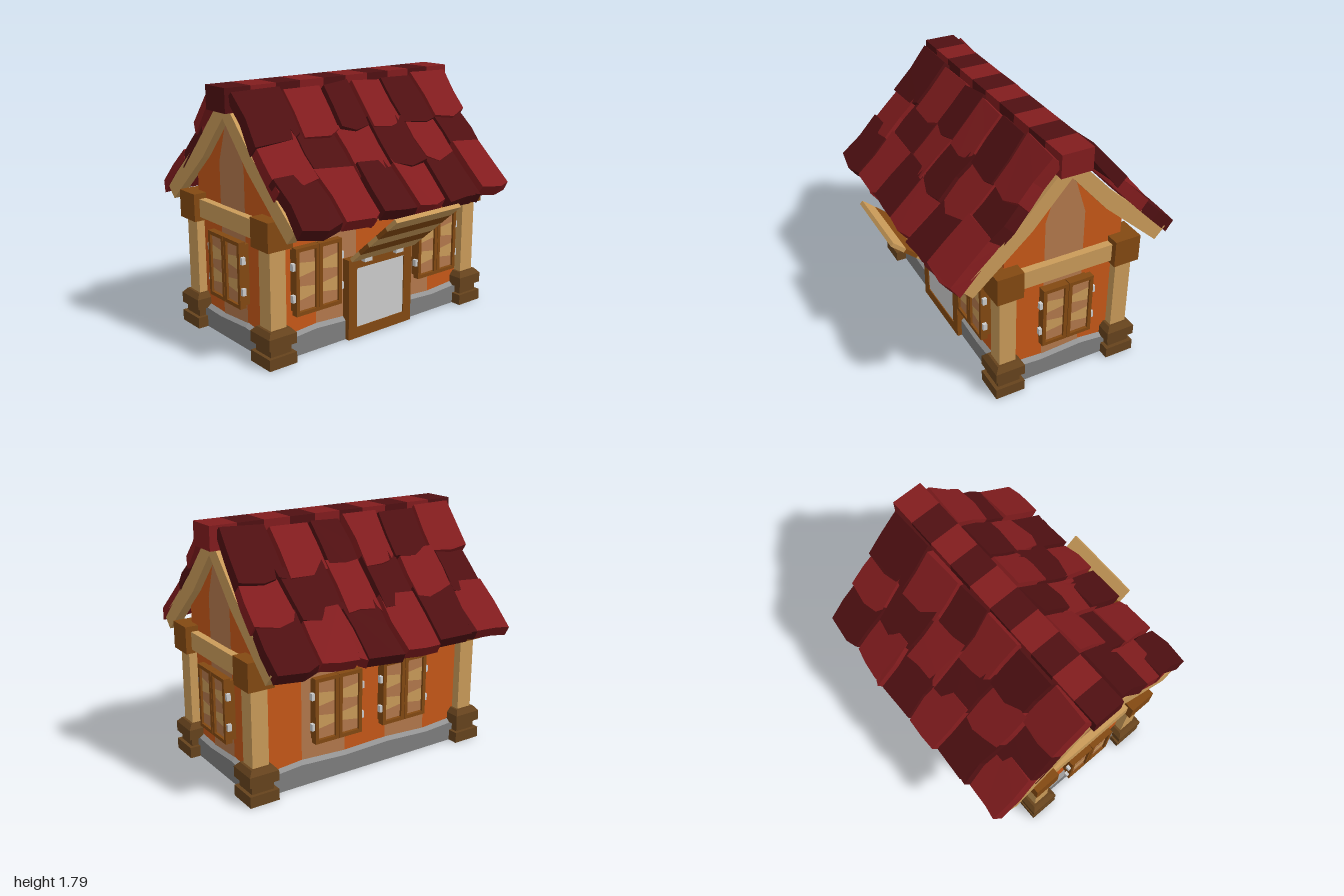
import * as THREE from 'three';

const mat = (color, extra = {}) => new THREE.MeshStandardMaterial({ color, flatShading: true, ...extra });
const M = {
  orange: mat(0xc65818), clay: mat(0xb3784c), tan: mat(0xca9b59), brown: mat(0x834912),
  dark: mat(0x66431d), stone: mat(0x7e7e7e), stoneLight: mat(0x929292),
  red: mat(0x821c1e), maroon: mat(0x501012), grey: mat(0xcccccc),
  clayThin: mat(0xb3784c, { side: THREE.DoubleSide }),
};
const WX = 0.89, WZ = 0.445; // half size of the walls

let seed = 7;
const jit = (a) => { seed = (seed * 16807) % 2147483647; return (seed / 2147483647 * 2 - 1) * a; };

function add(parent, name, geo, material, x = 0, y = 0, z = 0) {
  const m = new THREE.Mesh(geo, material);
  m.name = name;
  m.position.set(x, y, z);
  parent.add(m);
  return m;
}
const box = (p, name, w, h, d, material, x, y, z) =>
  add(p, name, new THREE.BoxGeometry(w, h, d), material, x, y, z);
const poly = (pts) => new THREE.Shape(pts.map(([x, y]) => new THREE.Vector2(x, y)));
function group(parent, name, x = 0, y = 0, z = 0, ry = 0) {
  const g = new THREE.Group();
  g.name = name;
  g.position.set(x, y, z);
  g.rotation.y = ry;
  parent.add(g);
  return g;
}

// Striped walls, gable stripes and chequered floor
function buildWalls(house) {
  const g = group(house, 'walls');
  const profile = poly([[-WZ, 0.01], [WZ, 0.01], [WZ, 1.15], [0.3, 1.3], [0, 1.63], [-0.3, 1.3], [-WZ, 1.15]]);
  const w = 2 * WX / 5;
  for (let i = 0; i < 5; i++) {
    const geo = new THREE.ExtrudeGeometry(profile, { depth: w, bevelEnabled: false });
    geo.rotateY(Math.PI / 2);
    add(g, 'wallBay', geo, i % 2 ? M.clay : M.orange, -WX + i * w);
  }
  const stripe = new THREE.ShapeGeometry(poly([[-0.148, 0.1], [0.148, 0.1], [0.148, 1.26], [0.07, 1.5], [0, 1.6], [-0.07, 1.5], [-0.148, 1.26]]));
  stripe.rotateY(Math.PI / 2);
  for (const s of [-1, 1]) add(g, 'gableStripe', stripe, M.clayThin, s * (WX + 0.003));
  const fw = 2 * (WX + 0.03) / 5, fd = 2 * (WZ + 0.03) / 3;
  for (let i = 0; i < 5; i++) for (let j = 0; j < 3; j++)
    box(g, 'floorTile', fw, 0.01, fd, (i + j) % 2 ? M.orange : M.clay, (i - 2) * fw, 0.006, (j - 1) * fd);
}

// Stone plinth: a wavy band with a paler sloped top
function buildPlinth(house) {
  const path = [];
  for (let i = 0; i < 5; i++) path.push([-1 + i * 0.4, 1]);
  for (let i = 0; i < 3; i++) path.push([1, 1 - i * 2 / 3]);
  const half = path.map(([x, z]) => [-x, -z]);
  const ring = [...path, ...half].map(([x, z], i) => ({ x, z, h: [0.15, 0.18, 0.16, 0.17, 0.15, 0.175, 0.16, 0.18][i % 8] }));
  const band = (name, material, lo, hi) => {
    const pos = [];
    ring.forEach((a, i) => {
      const b = ring[(i + 1) % ring.length];
      const [p, q, r, s] = [lo(a), lo(b), hi(b), hi(a)];
      pos.push(...p, ...q, ...r, ...p, ...r, ...s);
    });
    const geo = new THREE.BufferGeometry();
    geo.setAttribute('position', new THREE.Float32BufferAttribute(pos, 3));
    geo.computeVertexNormals();
    add(house, name, geo, material);
  };
  const at = (p, out, y) => [p.x * (WX + out), y, p.z * (WZ + out)];
  band('plinth', M.stone, (p) => at(p, 0.032, 0), (p) => at(p, 0.032, p.h - 0.025));
  band('plinthTop', M.stoneLight, (p) => at(p, 0.032, p.h - 0.025), (p) => at(p, -0.002, p.h));
}

// Corner post with stepped foot and cap block
function buildPost(house, x, z) {
  const g = group(house, 'cornerPost', x, 0, z);
  const chamfer = new THREE.CylinderGeometry(0.08 * Math.SQRT2, 0.11 * Math.SQRT2, 0.035, 4);
  chamfer.rotateY(Math.PI / 4);
  box(g, 'footBase', 0.22, 0.08, 0.22, M.dark, 0, 0.04, 0);
  box(g, 'footNeck', 0.168, 0.07, 0.168, M.dark, 0, 0.11, 0);
  box(g, 'footBlock', 0.22, 0.075, 0.22, M.dark, 0, 0.18, 0);
  add(g, 'footChamfer', chamfer, M.dark, 0, 0.235, 0);
  box(g, 'shaft', 0.124, 0.6, 0.124, M.tan, 0, 0.53, 0);
  box(g, 'cap', 0.195, 0.2, 0.195, M.brown, 0, 0.9, 0);
}

// Shuttered window facing +z, its back on the wall
function buildWindow(house, x, z, ry) {
  const g = group(house, 'window', x, 0.545, z, ry);
  box(g, 'windowBack', 0.35, 0.43, 0.05, M.brown, 0, -0.005, 0.025);
  for (const s of [-1, 1]) {
    const sh = group(g, 'shutter', s * 0.097);
    // wavy-edged bands of wood
    const tilt = (k) => (k % 5 ? s * (k % 2 ? 0.012 : -0.012) : 0);
    const edge = (k) => [-0.205 + k * 0.082 + tilt(k), -0.205 + k * 0.082 - tilt(k)];
    for (let k = 0; k < 5; k++) {
      const [a, b] = edge(k), [c, d] = edge(k + 1);
      add(sh, 'shutterPlank', new THREE.ExtrudeGeometry(poly([[-0.08, a], [0.08, b], [0.08, d], [-0.08, c]]),
        { depth: 0.025, bevelEnabled: false }), k % 2 ? M.tan : M.clay, 0, 0, 0.047);
    }
    for (const t of [-1, 1]) {
      box(sh, 'shutterStile', 0.026, 0.47, 0.05, M.brown, t * 0.082, 0, 0.064);
      box(sh, 'shutterRail', 0.15, 0.026, 0.05, M.brown, 0, t * 0.222, 0.064);
      box(g, 'hinge', 0.03, 0.05, 0.03, M.grey, s * 0.2, t * 0.11, 0.066);
    }
  }
}

// Doorway with a grey panel and a propped plank awning
function buildDoor(house) {
  const g = group(house, 'doorway', 0, 0, WZ);
  for (const s of [-1, 1]) box(g, 'doorJamb', 0.075, 0.59, 0.07, M.brown, s * 0.2595, 0.295, 0.03);
  box(g, 'doorSill', 0.444, 0.08, 0.07, M.brown, 0, 0.04, 0.03);
  box(g, 'doorLintel', 0.444, 0.07, 0.07, M.brown, 0, 0.555, 0.03);
  box(g, 'doorPanel', 0.45, 0.45, 0.05, M.grey, 0, 0.3, 0.033);
  for (const s of [-1, 1]) box(g, 'awningHinge', 0.07, 0.03, 0.04, M.grey, s * 0.147, 0.58, 0.08);
  const awning = group(g, 'awning', 0, 0.6, 0.085);
  awning.rotation.x = -Math.atan2(0.38, 0.435);
  for (let i = 0; i < 5; i++)
    box(awning, 'awningPlank', 0.59, 0.03, 0.116, i % 2 ? M.brown : M.tan, 0, 0, 0.057 + i * 0.116);
}

// One roof slope (facing +z): three overlapping rows of six crooked tiles
function buildSlope(house, ry) {
  const g = group(house, 'roofSlope', 0, 0, 0, ry);
  const rows = [
    { top: [0.14, 1.76], low: [0.395, 1.465], joints: [-0.96, -0.57, -0.24, 0.02, 0.31, 0.63, 0.96] },
    { top: [0.33, 1.515], low: [0.625, 1.225], joints: [-0.96, -0.63, -0.28, 0.01, 0.33, 0.65, 0.95] },
    { top: [0.56, 1.285], low: [0.875, 0.995], joints: [-0.95, -0.62, -0.3, 0.01, 0.31, 0.64, 0.95] },
  ];
  rows.forEach(({ top: [da, ya], low: [db, yb], joints }, r) => {
    const len = Math.hypot(ya - yb, da - db);
    const up = new THREE.Vector3(0, (ya - yb) / len, (da - db) / len);
    const out = new THREE.Vector3(0, -up.z, up.y);
    const basis = new THREE.Matrix4().makeBasis(new THREE.Vector3(1, 0, 0), up, out);
    const seams = joints.map((x) => [x + jit(0.012), x + jit(0.012), x + jit(0.02)]);
    for (let i = 0; i < 6; i++) {
      const L = seams[i], R = seams[i + 1], cx = (L[0] + R[0]) / 2, mid = cx + jit(0.06);
      const pts = [[L[0], jit(0.035)], [mid, jit(0.02) - 0.015]];
      // some tiles have a crack at the lower edge
      if ((i + r) % 3 === 0) pts.push([R[0] - 0.075, -0.01], [R[0] - 0.06, 0.065], [R[0] - 0.05, 0]);
      pts.push([R[0], jit(0.035)], [R[1], len * 0.5], [R[2], len + jit(0.02)], [L[2], len + jit(0.02)], [L[1], len * 0.5]);
      const geo = new THREE.ExtrudeGeometry(poly(pts), { depth: 0.095, bevelEnabled: false });
      geo.translate(0, 0, -0.095);
      // slant the lower end and right side, then twist each tile a little
      const p = geo.attributes.position, twist = jit(0.09), lift = jit(0.012);
      for (let k = 0; k < p.count; k++) {
        const x = p.getX(k), z = p.getZ(k), s = p.getY(k) / len;
        if (z > -0.05) {
          if (s < 0.3) p.setY(k, p.getY(k) + 0.01);
          if (x > cx + 0.11) p.setX(k, x - 0.025);
        }
        p.setZ(k, z * (1 - 0.2 * s) + lift + (x - cx) * twist);
      }
      geo.computeVertexNormals();
      geo.applyMatrix4(basis);
      add(g, 'roofTile', geo, (i + r) % 2 ? M.red : M.maroon, 0, yb, db);
    }
  });
}

export function createModel() {
  const model = new THREE.Group();
  model.name = 'cottage';
  const house = group(model, 'house', 0, 0, -0.045);
  buildWalls(house);
  buildPlinth(house);
  for (const sx of [-1, 1]) for (const sz of [-1, 1]) buildPost(house, sx * 0.89, sz * WZ);

  // Tie beams around the wall tops
  for (const s of [-1, 1]) {
    box(house, 'longBeam', 1.7, 0.13, 0.08, M.tan, 0, 0.895, s * (WZ + 0.015));
    box(house, 'endBeam', 0.08, 0.13, 0.8, M.tan, s * (WX + 0.015), 0.895, 0);
  }

  // Windows on every side
  buildWindow(house, -0.57, WZ, 0);
  buildWindow(house, 0.54, WZ, 0);
  for (const s of [-1, 1]) {
    buildWindow(house, s * 0.285, -WZ, Math.PI);
    buildWindow(house, s * WX, 0, s * Math.PI / 2);
  }
  buildDoor(house);

  // Roof slopes, bent gable boards and banded ridge
  buildSlope(house, 0);
  buildSlope(house, Math.PI);
  const outer = [[0.775, 0.98], [0.33, 1.375], [0, 1.73]], inner = [[0, 1.58], [0.275, 1.27], [0.695, 0.895]];
  const flip = ([x, y]) => [-x, y];
  const board = new THREE.ExtrudeGeometry(
    poly([...outer, ...outer.slice(0, 2).reverse().map(flip), ...inner.slice(1).reverse().map(flip), ...inner]),
    { depth: 0.07, bevelEnabled: false });
  board.translate(0, 0, -0.035).rotateY(Math.PI / 2);
  for (const s of [-1, 1]) add(house, 'gableBoard', board, M.tan, s * 0.915);
  for (let i = 0; i < 10; i++)
    box(house, 'ridgeBlock', 0.2, 0.165, 0.23, i % 2 ? M.red : M.maroon, -0.9 + i * 0.2, 1.7125, 0);
  return model;
}
